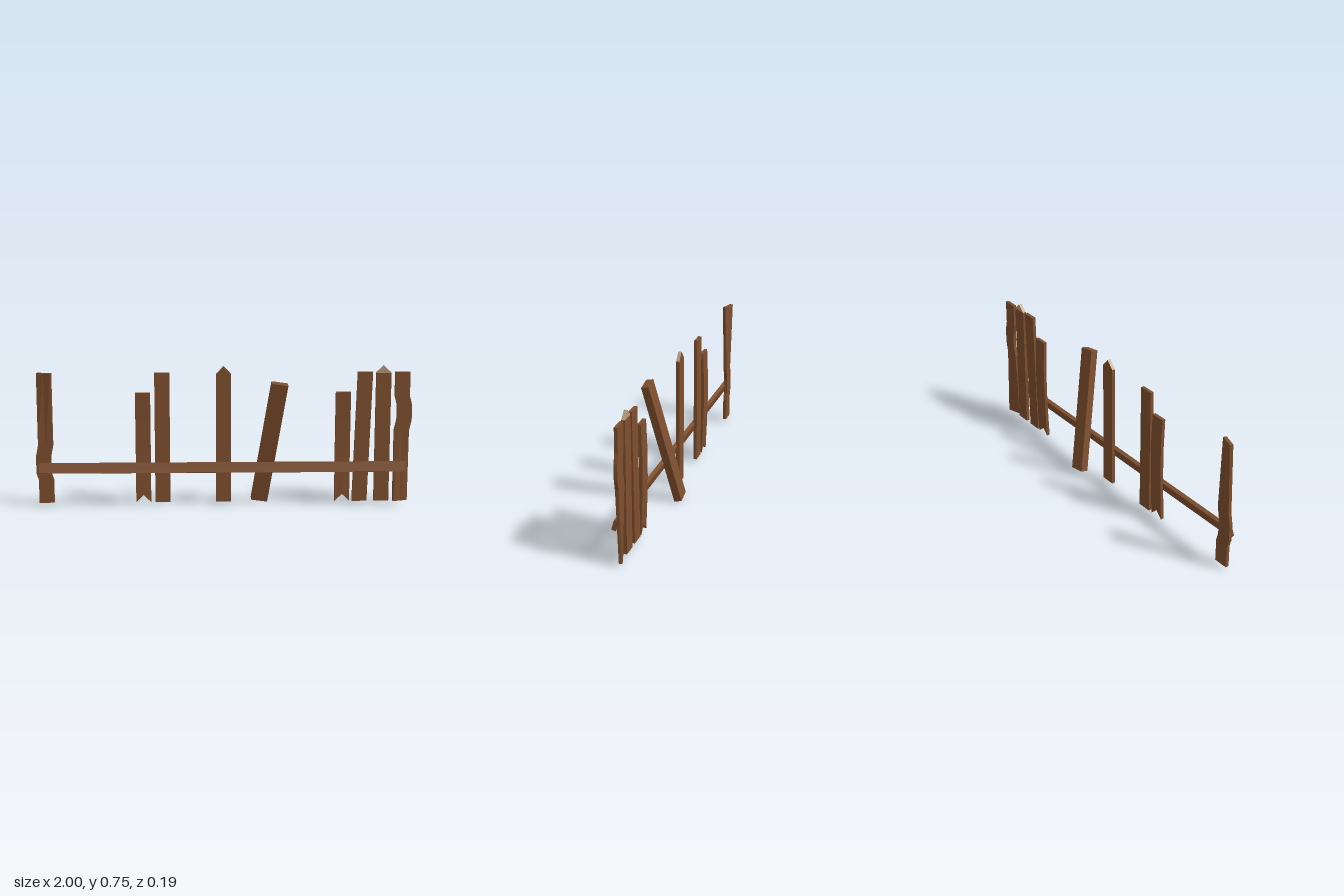
import * as THREE from 'three';

const wood = new THREE.MeshStandardMaterial({ color: 0x7f4f2e });
wood.name = 'brown wood';
const cutWood = new THREE.MeshStandardMaterial({ color: 0xb59a78 });
cutWood.name = 'pale cut wood';

const HALF_W = 0.04, HALF_T = 0.009;

// Plank lofted through rows [y, middle y, x shift, z shift, twist], bottom to top
function plank(name, x, rows, material = wood, topMaterial = material) {
  const sections = rows.map(([y, my, dx = 0, dz = 0, a = 0]) => {
    const at = (c, t) => [
      dx + c * HALF_W * Math.cos(a) + t * HALF_T * Math.sin(a),
      c === 0 ? my : y,
      dz - c * HALF_W * Math.sin(a) + t * HALF_T * Math.cos(a),
    ];
    // ring: front left to right, then back right to left
    return [at(-1, 1), at(0, 1), at(1, 1), at(1, -1), at(0, -1), at(-1, -1)];
  });
  const pos = [];
  const quad = (a, b, c, d) => pos.push(...a, ...b, ...c, ...a, ...c, ...d);
  for (let r = 0; r < sections.length - 1; r++) {
    const lo = sections[r], hi = sections[r + 1];
    for (let i = 0; i < 6; i++) {
      const j = (i + 1) % 6;
      quad(lo[i], lo[j], hi[j], hi[i]);
    }
  }
  const b = sections[0], t = sections[sections.length - 1];
  quad(b[5], b[4], b[1], b[0]);
  quad(b[4], b[3], b[2], b[1]);
  const sideCount = pos.length / 3;
  quad(t[0], t[1], t[4], t[5]);
  quad(t[1], t[2], t[3], t[4]);
  const g = new THREE.BufferGeometry();
  g.setAttribute('position', new THREE.Float32BufferAttribute(pos, 3));
  g.addGroup(0, sideCount, 0);
  g.addGroup(sideCount, 12, 1);
  g.computeVertexNormals();
  const mesh = new THREE.Mesh(g, [material, topMaterial]);
  mesh.name = name;
  mesh.position.set(x, 0, -0.011);
  return mesh;
}

export function createModel() {
  const fence = new THREE.Group();
  fence.name = 'brokenFence';
  const B = 0.016, T = 0.718;

  // Kinked end plank, twisted at its top
  fence.add(plank('kinkedEndPlank', -0.948, [
    [B, B], [0.14, 0.14], [0.18, 0.18, -0.012], [0.27, 0.27, -0.012],
    [0.33, 0.33], [T, T, 0, 0, -0.3],
  ]));

  // Short bowed planks with a notched foot
  for (const x of [-0.43, 0.636]) {
    fence.add(plank('notchedPlank', x, [
      [B, 0.055], [0.16, 0.16, 0, -0.006], [0.3, 0.3, 0, -0.01],
      [0.45, 0.45, 0, -0.01], [0.61, 0.61, 0, -0.004],
    ]));
  }

  // Straight, leaning and pointed planks
  fence.add(plank('straightPlank', -0.327, [[B, B], [T, T]]));
  fence.add(plank('slantedPlank', 0.73, [[B, B], [T, T, 0.02]]));
  fence.add(plank('pointedPlank', -0.001, [[B, B], [0.71, 0.752]], wood, cutWood));
  fence.add(plank('paleTipPlank', 0.848, [[B, B], [0.714, 0.714]]));
  fence.add(plank('paleTip', 0.848, [[0.714, 0.714], [0.715, 0.752]], cutWood));

  // Wavy end plank, twisted at its foot
  fence.add(plank('wavyEndPlank', 0.949, [
    [B, B, 0, 0, 0.3], [0.4, 0.4], [0.46, 0.46, 0.013], [0.54, 0.54, 0.013],
    [0.59, 0.59], [T, T],
  ]));

  // Thick loose plank leaning forward over the rail
  const loose = new THREE.Mesh(new THREE.BoxGeometry(0.088, 0.682, 0.04), wood);
  loose.name = 'loosePlank';
  loose.position.set(0.242, 0.341, 0);
  loose.rotation.set(0.2147, 0, -0.146);
  fence.add(loose);

  // Tilted cross rail
  const rail = new THREE.Mesh(new THREE.BoxGeometry(1.956, 0.056, 0.022), wood);
  rail.name = 'crossRail';
  rail.position.set(-0.006, 0.208, 0.009);
  rail.rotation.x = -0.28;
  fence.add(rail);

  return fence;
}
